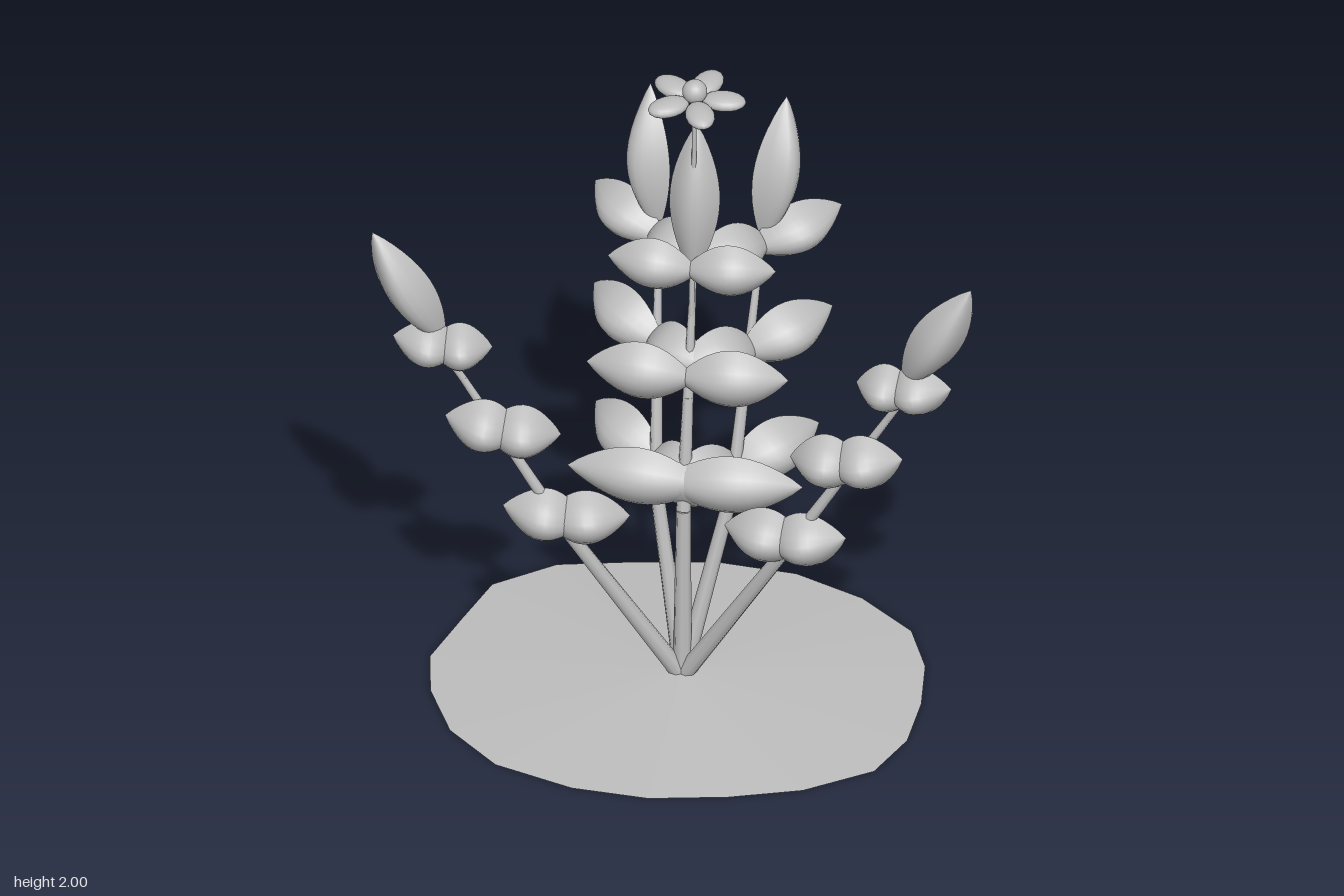
import * as THREE from 'three';

const V = (a) => new THREE.Vector3(...a);
const grey = new THREE.MeshStandardMaterial({ color: 0xbcbcbc, side: THREE.DoubleSide });
grey.name = 'plain grey';

function add(group, name, geometry) {
  const mesh = new THREE.Mesh(geometry, grey);
  mesh.name = name;
  group.add(mesh);
  return mesh;
}

// Cupped leaf: pointed at both ends, bulging towards `face`
function leaf(group, name, base, tip, halfWidth, depth, face) {
  const axis = tip.clone().sub(base);
  const dir = axis.clone().normalize();
  const normal = face.clone().addScaledVector(dir, -face.dot(dir)).normalize();
  const side = normal.clone().cross(dir);
  const geometry = new THREE.PlaneGeometry(2, 1, 8, 14);
  const pos = geometry.attributes.position;
  const p = new THREE.Vector3();
  for (let i = 0; i < pos.count; i++) {
    const v = pos.getX(i);
    const u = pos.getY(i) + 0.5;
    const swell = Math.max(0, Math.sin(Math.PI * u));
    p.copy(base).addScaledVector(axis, u)
      .addScaledVector(side, -v * halfWidth * Math.pow(swell, 0.85))
      .addScaledVector(normal, depth * swell * (1 - v * v));
    pos.setXYZ(i, p.x, p.y, p.z);
  }
  geometry.computeVertexNormals();
  add(group, name, geometry);
}

// Stem of tapered straight pieces
function stem(group, name, points, r0, r1) {
  const n = points.length - 1;
  for (let i = 0; i < n; i++) {
    const a = V(points[i]), b = V(points[i + 1]);
    const d = b.clone().sub(a);
    const ra = THREE.MathUtils.lerp(r0, r1, i / n);
    const rb = THREE.MathUtils.lerp(r0, r1, (i + 1) / n);
    const mesh = add(group, name, new THREE.CylinderGeometry(rb, ra, d.length(), 8));
    mesh.position.copy(a).addScaledVector(d, 0.5);
    mesh.quaternion.setFromUnitVectors(new THREE.Vector3(0, 1, 0), d.normalize());
  }
}

// Opposite leaves at a node, their bases crossing behind the stem
function leafPair(group, node, tips, overlap, halfWidth, depth, face) {
  for (const t of tips) {
    const tip = V(t);
    const n = V(node);
    const base = n.clone().addScaledVector(tip.clone().sub(n), -overlap);
    leaf(group, 'sideLeaf', base, tip, halfWidth, depth, face);
  }
}

// Gently domed ground patch with an irregular rim, listed clockwise from above
function ground() {
  const rim = [
    [0, -0.61], [0.24, -0.59], [0.45, -0.5], [0.62, -0.36], [0.69, -0.19], [0.71, 0],
    [0.7, 0.19], [0.63, 0.36], [0.44, 0.49], [0.23, 0.56], [0, 0.605], [-0.23, 0.59],
    [-0.47, 0.51], [-0.63, 0.36], [-0.72, 0.17], [-0.75, 0], [-0.69, -0.2],
    [-0.63, -0.39], [-0.46, -0.52], [-0.24, -0.57],
  ];
  const verts = [];
  rim.forEach(([x, z], i) => {
    const [x2, z2] = rim[(i + 1) % rim.length];
    verts.push(0, 0.045, 0, x2, 0, z2, x, 0, z);
    verts.push(0, 0, 0, x, 0, z, x2, 0, z2);
  });
  const geometry = new THREE.BufferGeometry();
  geometry.setAttribute('position', new THREE.Float32BufferAttribute(verts, 3));
  geometry.computeVertexNormals();
  return geometry;
}

export function createModel() {
  const model = new THREE.Group();
  model.name = 'plant';
  add(model, 'ground', ground());

  for (const s of [-1, 1]) {
    // Outer branches, leaning sideways and a little forward
    const outer = new THREE.Group();
    outer.name = s > 0 ? 'leftOuterBranch' : 'rightOuterBranch';
    model.add(outer);
    stem(outer, 'stem', [[0, 0.02, 0], [s * 0.33, 0.6, 0.125], [s * 0.63, 1.1, 0.125],
      [s * 0.89, 1.55, 0.18]], 0.028, 0.004);
    const front = V([s * 0.1, 0.1, 1]);
    leafPair(outer, [s * 0.33, 0.63, 0.12],
      [[s * 0.51, 0.67, 0.14], [s * 0.14, 0.64, 0.09]], 0.35, 0.09, 0.1, front);
    leafPair(outer, [s * 0.51, 0.94, 0.14],
      [[s * 0.68, 0.98, 0.15], [s * 0.34, 0.93, 0.12]], 0.35, 0.09, 0.105, front);
    leafPair(outer, [s * 0.68, 1.235, 0.16],
      [[s * 0.83, 1.27, 0.18], [s * 0.54, 1.235, 0.14]], 0.35, 0.08, 0.1, front);
    leaf(outer, 'topLeaf', V([s * 0.68, 1.24, 0.15]), V([s * 0.89, 1.64, 0.19]),
      0.075, 0.085, front);

    // Inner branches, leaning back
    const inner = new THREE.Group();
    inner.name = s > 0 ? 'leftInnerBranch' : 'rightInnerBranch';
    model.add(inner);
    const k = s > 0 ? 1.25 : 1;
    stem(inner, 'stem', [[0, 0.02, 0], [s * 0.1 * k, 0.6, -0.13], [s * 0.12 * k, 1.0, -0.27],
      [s * 0.135 * k, 1.3, -0.38], [s * 0.18 * k, 1.68, -0.51]], 0.026, 0.004);
    const outward = V([s * 0.7, 0.1, 0.7]);
    const nodes = [
      [0.1 * k, 0.66, -0.17, 0.22, 0.2, 0.1],
      [0.12 * k, 1.02, -0.27, 0.22, 0.19, 0.095],
      [0.135 * k, 1.33, -0.37, 0.215, 0.17, 0.085],
    ];
    for (const [x, y, z, dx, dz, w] of nodes) {
      leafPair(inner, [s * x, y, z],
        [[s * (x + dx), y + 0.05, z - dz], [s * (x - dx * 0.85), y + 0.04, z + dz * 0.9]],
        0.15, w, 0.1, outward);
    }
    leaf(inner, 'topLeaf', V([s * 0.14 * k, 1.32, -0.39]), V([s * 0.18 * k, 1.77, -0.51]),
      0.08, 0.09, outward);
  }

  // Central branch
  const centre = new THREE.Group();
  centre.name = 'centreBranch';
  model.add(centre);
  stem(centre, 'stem', [[0, 0.02, 0], [0, 0.6, -0.02], [0, 0.95, -0.1], [0, 1.3, -0.19],
    [0, 1.72, -0.26]], 0.028, 0.004);
  const forward = V([0, 0.1, 1]);
  const rows = [[0.69, -0.03, 0.35, 0.22, 0.095], [1.04, -0.07, 0.3, 0.1, 0.095],
    [1.37, -0.15, 0.25, 0.1, 0.085]];
  for (const [y, z, reach, overlap, w] of rows) {
    leafPair(centre, [0, y, z], [[reach, y + 0.01, z - 0.02], [-reach, y + 0.01, z - 0.02]],
      overlap, w, 0.075, forward);
  }
  leaf(centre, 'topLeaf', V([0, 1.33, -0.18]), V([0, 1.82, -0.26]), 0.075, 0.06, forward);

  // Flower on its own thin stalk
  const flower = new THREE.Group();
  flower.name = 'flower';
  model.add(flower);
  stem(flower, 'flowerStalk', [[0, 1.2, -0.16], [0, 1.6, -0.2], [0, 1.94, -0.215]], 0.009, 0.006);
  const heart = add(flower, 'flowerHeart', new THREE.SphereGeometry(0.037, 16, 12));
  heart.position.set(0, 1.963, -0.22);
  for (let i = 0; i < 5; i++) {
    const a = (i / 5) * Math.PI * 2 + 0.03;
    const petal = add(flower, 'petal', new THREE.SphereGeometry(1, 16, 12));
    petal.scale.set(0.065, 0.024, 0.043);
    petal.position.set(Math.cos(a) * 0.087, 1.937, -0.22 - Math.sin(a) * 0.087);
    petal.rotation.y = a;
  }
  return model;
}
